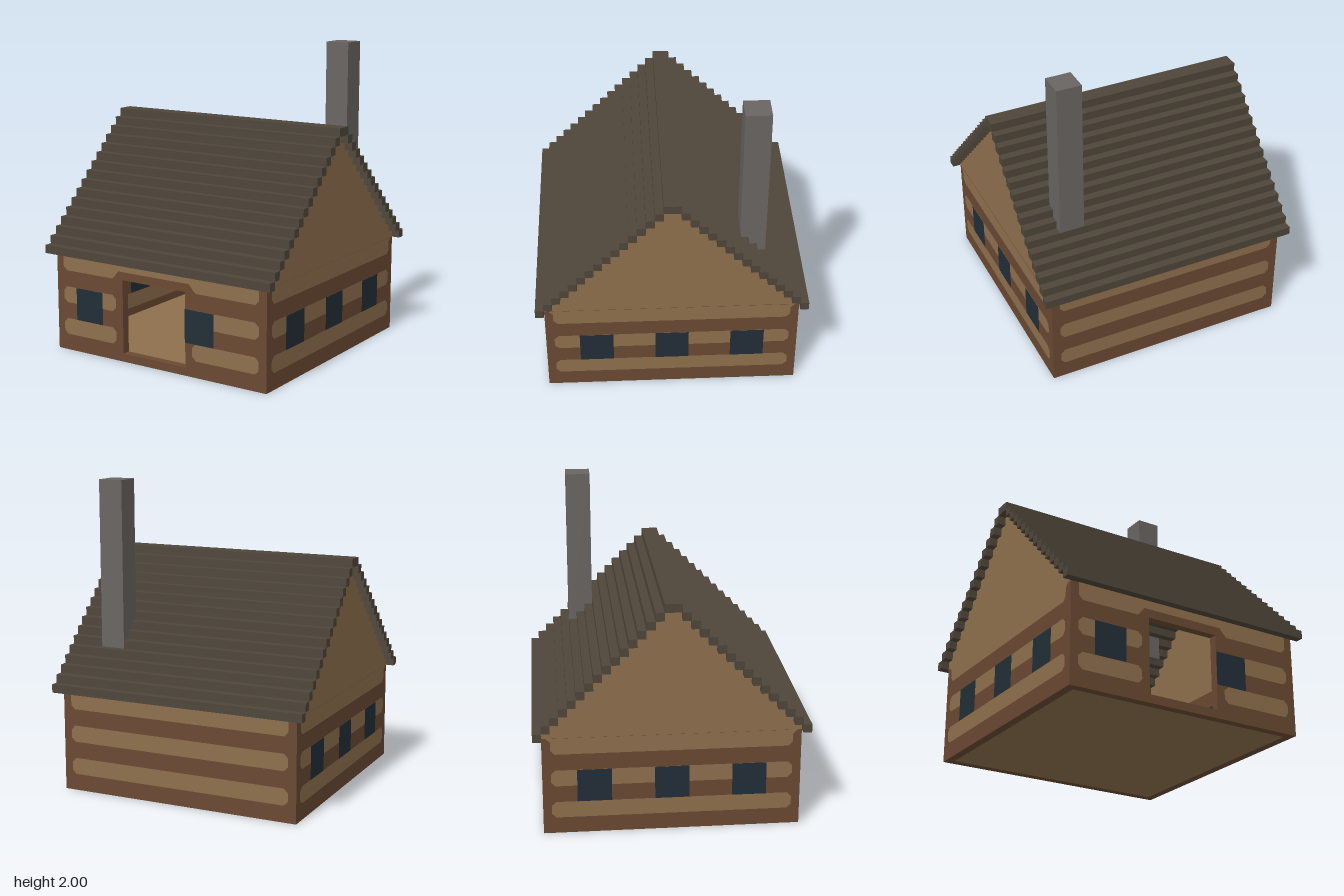
import * as THREE from 'three';

const U = 2 / 37; // one building block; all sizes below are in blocks

export function createModel() {
  const mat = (name, color) => {
    const m = new THREE.MeshStandardMaterial({ color });
    m.name = name;
    return m;
  };
  const brown = mat('dark timber', 0x6a4932);
  const tan = mat('light timber', 0x8f704d);
  const roofing = mat('roof shingle', 0x4f463a);
  const glass = mat('dark blue', 0x222e37);
  const stone = mat('chimney stone', 0x696562);

  const house = new THREE.Group();
  house.name = 'cabin';
  house.scale.setScalar(U);

  const add = (name, geometry, material, parent = house) => {
    const mesh = new THREE.Mesh(geometry, material);
    mesh.name = name;
    parent.add(mesh);
    return mesh;
  };
  // Box between two corners
  const box = (name, material, x0, x1, y0, y1, z0, z1, parent) => {
    const g = new THREE.BoxGeometry(x1 - x0, y1 - y0, z1 - z0);
    g.translate((x0 + x1) / 2, (y0 + y1) / 2, (z0 + z1) / 2);
    return add(name, g, material, parent);
  };
  const shape = (pts) => new THREE.Shape(pts.map(([x, y]) => new THREE.Vector2(x, y)));
  const rect = (x0, x1, y0, y1) => [[x0, y0], [x1, y0], [x1, y1], [x0, y1]];
  // Log band with cut corners
  const band = (x0, x1, y0, y1, c = 0.5) => [
    [x0 + c, y0], [x1 - c, y0], [x1, y0 + c], [x1, y1 - c],
    [x1 - c, y1], [x0 + c, y1], [x0, y1 - c], [x0, y0 + c]];
  // Top band that runs up to the eaves
  const topBand = [[-14, 12], [-14, 10.5], [-13.5, 10], [13.5, 10], [14, 10.5], [14, 12]];
  const gableBand = [[-14.5, 12], [-14, 11.5], [-14, 10.5], [-13.5, 10],
    [13.5, 10], [14, 10.5], [14, 11.5], [14.5, 12]];
  const doorBand = [[-14, 12], [-14, 10.5], [-13.5, 10], [-6.5, 10], [-6, 10.5], [-5.6, 11],
    [4.6, 11], [5, 10.5], [5.5, 10], [13.5, 10], [14, 10.5], [14, 12]];

  // Painted plates on a wall whose face lies at distance d along its own +z
  const paint = (angle, d, bands, windows) => {
    const side = new THREE.Group();
    side.name = 'wallPanels';
    side.rotation.y = angle;
    house.add(side);
    const plate = (name, pts, m, z) => {
      add(name, new THREE.ShapeGeometry(shape(pts)), m, side).position.z = z;
    };
    bands.forEach((b) => plate('logBand', b, tan, d + 0.04));
    windows.forEach((x) => plate('window', rect(x, x + 4, 4, 8), glass, d + 0.08));
  };

  // Floor and four walls
  box('floor', tan, -14, 14, 0, 1, -14, 14);
  box('backWall', brown, -15, 15, 0, 12, -15, -14);
  for (const s of [-1, 1]) {
    box('sideWall', brown, s * 14.5 - 0.5, s * 14.5 + 0.5, 0, 12, -14, 14);
  }
  const front = shape(rect(-15, 15, 0, 12));
  front.holes.push(new THREE.Path(rect(-5, 4, 1, 10).map(([x, y]) => new THREE.Vector2(x, y))));
  add('frontWall', new THREE.ExtrudeGeometry(front, { depth: 1, bevelEnabled: false }), brown)
    .position.z = 14;

  // Outside log bands and windows
  const full = [band(-14, 14, 2, 4), band(-14, 14, 6, 8)];
  const sideWindows = [-11, -2, 7];
  paint(0, 15, [
    band(-14, -6, 2, 4), band(5, 14, 2, 4),
    band(-14, -6, 6, 8), band(5, 14, 6, 8), doorBand,
  ], [-12, 4]);
  paint(Math.PI, 15, [...full, topBand], []);
  for (const s of [-1, 1]) paint(s * Math.PI / 2, 15, [...full, gableBand], sideWindows);

  // Inside log bands, facing into the room
  const inner = [rect(-14, 14, 2, 4), rect(-14, 14, 6, 8), rect(-14, 14, 10, 12)];
  paint(0, -14, inner, []);
  for (const s of [-1, 1]) paint(s * Math.PI / 2, -14, inner, sideWindows);

  // Stepped gables under the roof
  const steps = [];
  for (let k = 0; k < 15; k++) steps.push([15 - k, 12 + k], [15 - k, 13 + k]);
  const outline = [...steps, ...steps.map(([x, y]) => [-x, y]).reverse()];
  for (const s of [-1, 1]) {
    const g = new THREE.ExtrudeGeometry(shape(outline), { depth: 1, bevelEnabled: false });
    g.translate(0, 0, 14);
    add('gable', g, tan).rotation.y = s * Math.PI / 2;
  }

  // Roof courses, one block per step, meeting at a two-block ridge
  const roof = new THREE.Group();
  roof.name = 'roof';
  house.add(roof);
  for (let k = 0; k < 15; k++) {
    box('roofCourse', roofing, -16, 16, 12 + k, 13 + k, 15 - k, 16 - k, roof);
    box('roofCourse', roofing, -16, 16, 12 + k, 13 + k, k - 16, k - 15, roof);
  }
  box('ridge', roofing, -16, 16, 27, 28, -1, 1, roof);

  // Chimney
  box('chimney', stone, 9, 12, 17, 37, -11, -8);

  // Table and hanging lamp in the room
  box('tableTop', glass, -3, 2, 4, 5, -2.5, 2.5);
  box('tableLeg', glass, -2, 1, 1, 4, -1.5, 1.5);
  box('lamp', tan, -1, 0, 9, 10, -0.5, 0.5);
  box('lampCord', brown, -0.6, -0.4, 10, 27, -0.1, 0.1);

  const model = new THREE.Group();
  model.name = 'logCabin';
  model.add(house);
  return model;
}
